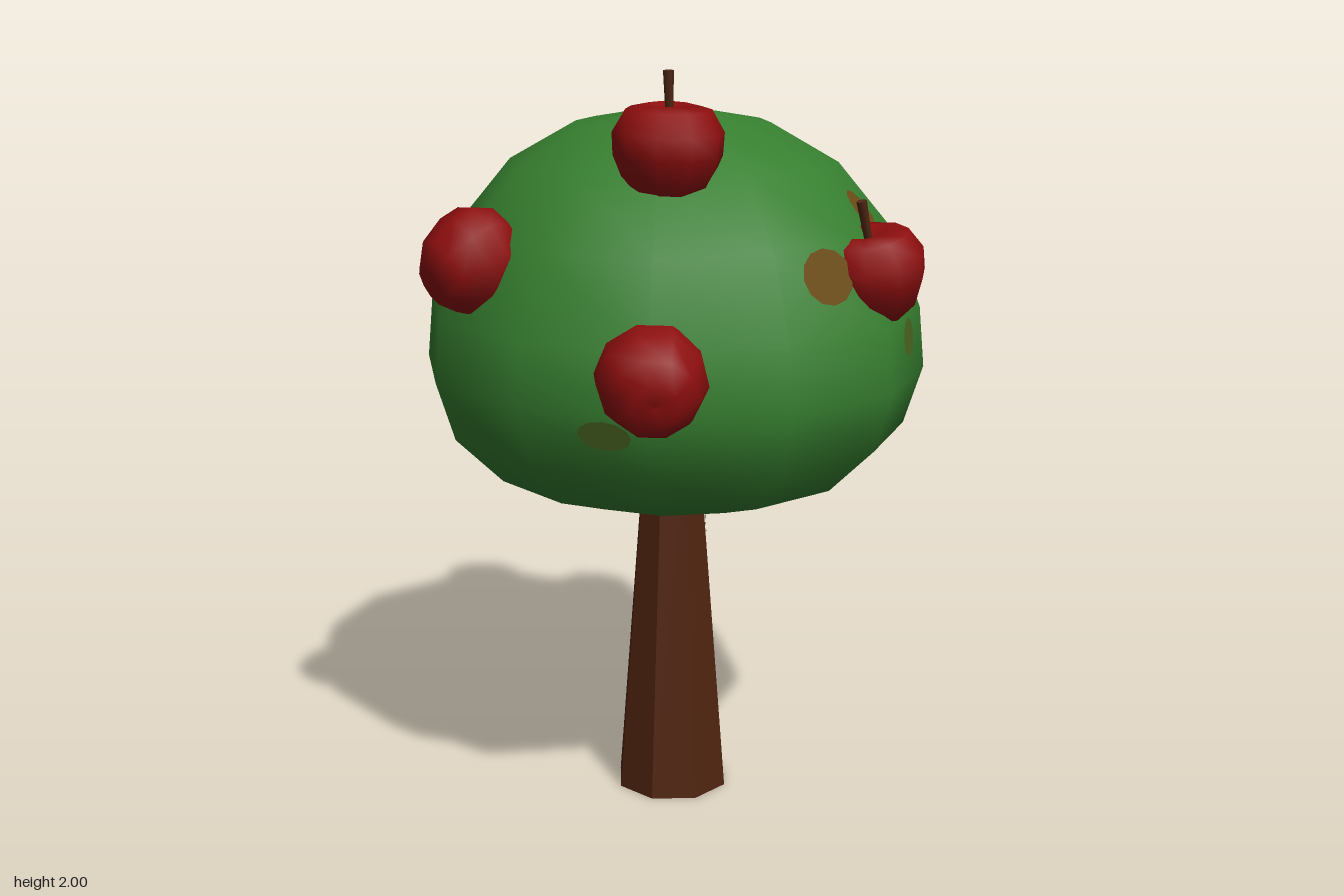
import * as THREE from 'three';

const mat = (name, color, extra = {}) => {
  const m = new THREE.MeshStandardMaterial({ color, ...extra });
  m.name = name;
  return m;
};
const pts = (list) => list.map(([x, y]) => new THREE.Vector2(x, y));

export function createModel() {
  const green = mat('leafGreen', 0x378030);
  const red = mat('appleRed', 0x8e0e0e);
  const bark = mat('barkBrown', 0x502410, { flatShading: true });
  const stemBrown = mat('stemBrown', 0x4f2712);
  const rust = mat('rustSmear', 0x6c4c16);
  const olive = mat('oliveSmear', 0x4c6522, { side: THREE.DoubleSide });

  const tree = new THREE.Group();
  tree.name = 'appleTree';
  const add = (parent, name, geometry, material) => {
    const mesh = new THREE.Mesh(geometry, material);
    mesh.name = name;
    parent.add(mesh);
    return mesh;
  };

  // Tapered eight-sided trunk
  const trunkRadius = (y) => 0.157 - 0.08 * y;
  const trunk = add(tree, 'trunk',
    new THREE.CylinderGeometry(trunkRadius(0.95), trunkRadius(0), 0.95, 8), bark);
  trunk.position.set(-0.004, 0.475, 0.003);

  // Broad dome of leaves, a little longer in z than in x
  const crownGeo = new THREE.LatheGeometry(pts([
    [0, 0.85], [0.32, 0.87], [0.5, 0.93], [0.63, 1.055], [0.68, 1.21], [0.665, 1.37],
    [0.58, 1.58], [0.44, 1.745], [0.26, 1.845], [0, 1.89],
  ]), 12);
  crownGeo.scale(0.975, 1, 1);
  const crown = add(tree, 'leafCrown', crownGeo, green);

  // Thin stains that follow the surface of the crown
  const heart = new THREE.Vector3(0, 1.25, 0);
  const ray = new THREE.Raycaster();
  crown.updateMatrixWorld(true);
  const smear = (x, y, z, wide, tall, material) => {
    const aim = new THREE.Vector3(x, y, z);
    const dir = aim.clone().sub(heart).normalize();
    const u = new THREE.Vector3(0, 1, 0).cross(dir).normalize();
    const v = dir.clone().cross(u);
    const geo = new THREE.RingGeometry(0.01, 1, 12, 3);
    const pos = geo.attributes.position;
    for (let i = 0; i < pos.count; i++) {
      const out = aim.clone().addScaledVector(u, pos.getX(i) * wide)
        .addScaledVector(v, pos.getY(i) * tall).sub(heart).normalize();
      ray.set(heart.clone().addScaledVector(out, 3), out.clone().negate());
      const hit = ray.intersectObject(crown)[0];
      const p = hit ? hit.point : aim;
      p.addScaledVector(out, 0.005);
      pos.setXYZ(i, p.x, p.y, p.z);
    }
    geo.computeVertexNormals();
    add(tree, 'leafStain', geo, material);
  };
  smear(0.15, 1.51, 0.56, 0.08, 0.07, rust);
  smear(0.36, 1.64, 0.36, 0.05, 0.06, rust);
  smear(0.46, 1.32, 0.46, 0.05, 0.05, olive);
  smear(-0.41, 1.16, 0.5, 0.07, 0.04, olive);
  smear(0.65, 1.31, 0.04, 0.05, 0.05, olive);
  smear(0.63, 1.35, -0.22, 0.05, 0.03, olive);
  smear(0.47, 1.13, -0.47, 0.05, 0.05, olive);
  smear(0.29, 1.56, -0.5, 0.04, 0.06, olive);
  smear(0.0, 1.6, -0.56, 0.05, 0.05, olive);

  // Small pointed stain at the top of the trunk
  const edge = (angle, y) => {
    const r = trunkRadius(y) + 0.004;
    return new THREE.Vector3(r * Math.cos(angle) - 0.004, y, r * Math.sin(angle) + 0.003);
  };
  const a = edge(0, 0.87), b = edge(Math.PI / 4, 0.87);
  const tip = edge(0, 0.71).lerp(edge(Math.PI / 4, 0.71), 0.4);
  const stainGeo = new THREE.BufferGeometry().setFromPoints([a, tip, b]);
  stainGeo.setIndex([0, 2, 1]);
  stainGeo.computeVertexNormals();
  add(tree, 'trunkStain', stainGeo, olive);

  // Apples: position, then the direction the stem points
  const appleGeo = new THREE.LatheGeometry(pts([
    [0, -0.112], [0.055, -0.122], [0.105, -0.08], [0.134, -0.01], [0.137, 0.045],
    [0.105, 0.1], [0.055, 0.112], [0, 0.075],
  ]), 10);
  const stemGeo = new THREE.CylinderGeometry(0.013, 0.009, 0.13, 6);
  const up = new THREE.Vector3(0, 1, 0);
  [
    [-0.17, 1.81, 0.345, 0, 1, 0.05],
    [-0.31, 1.295, 0.565, 0.3, 0.25, -0.8],
    [0.33, 1.495, 0.475, -0.22, 1, 0.08],
    [0.58, 1.435, -0.085, -0.9, 0.2, 0.1],
    [-0.58, 1.525, 0.07, 0.8, 0.35, -0.1],
    [0.455, 1.27, -0.495, 0.12, 1, -0.18],
    [0.14, 1.525, -0.565, 0.08, 1, 0.22],
  ].forEach(([x, y, z, dx, dy, dz]) => {
    const apple = new THREE.Group();
    apple.name = 'apple';
    apple.position.set(x, y, z);
    apple.quaternion.setFromUnitVectors(up, new THREE.Vector3(dx, dy, dz).normalize());
    add(apple, 'appleBody', appleGeo, red);
    const stem = add(apple, 'appleStem', stemGeo, stemBrown);
    stem.position.y = 0.127;
    stem.rotation.z = 0.05;
    tree.add(apple);
  });

  return tree;
}
